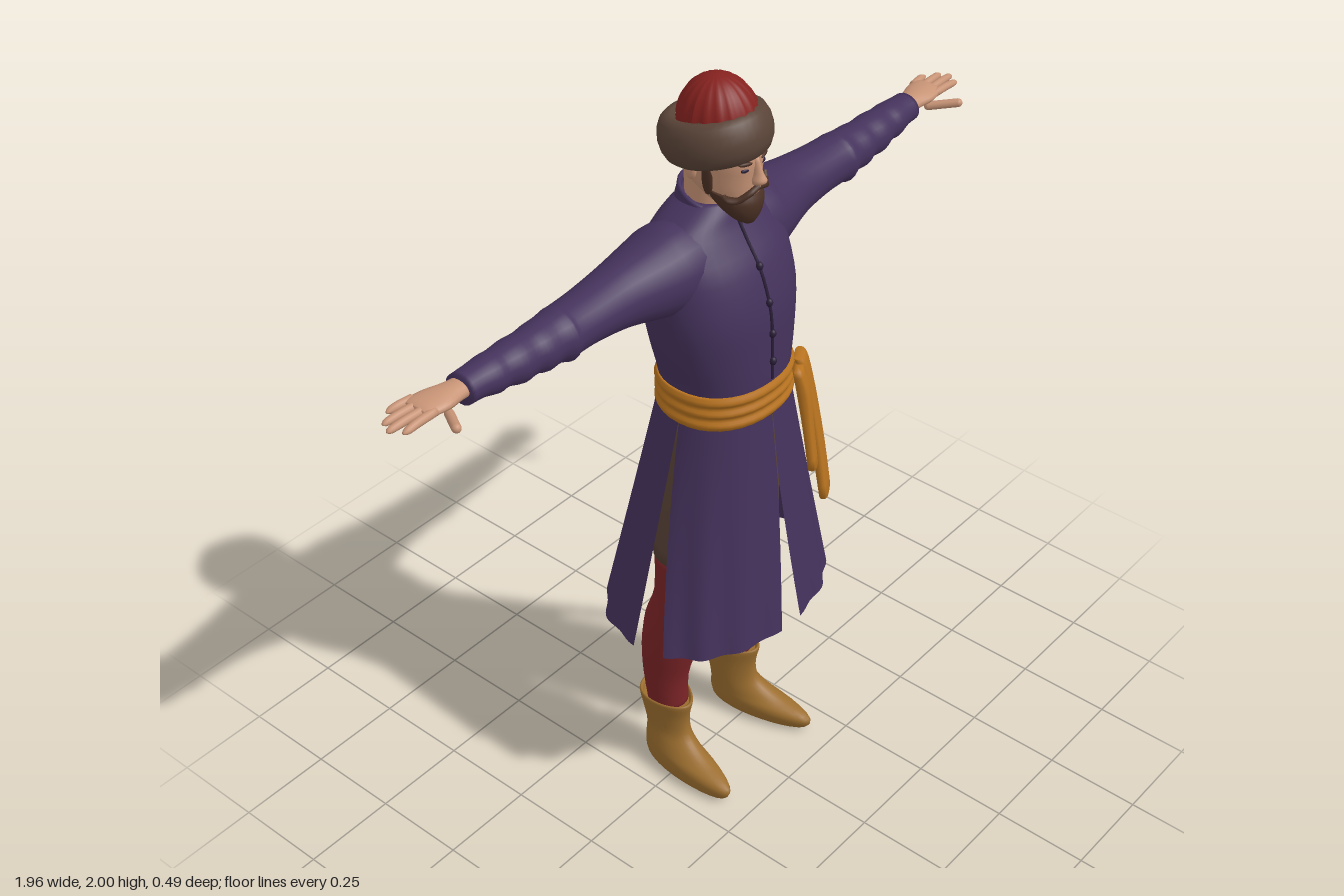
import * as THREE from 'three';

const mat = (name, color) => {
  const m = new THREE.MeshStandardMaterial({ color });
  m.name = name;
  return m;
};

// Smooth interpolation through keyframe rows
function resample(keys, sub) {
  const out = [], n = keys.length;
  for (let i = 0; i < n - 1; i++) {
    const [a, b, c, d] = [keys[Math.max(i - 1, 0)], keys[i], keys[i + 1], keys[Math.min(i + 2, n - 1)]];
    for (let s = 0; s < sub; s++) {
      const t = s / sub;
      out.push(b.map((v, k) => v + 0.5 * t * (c[k] - a[k] + t * (2 * a[k] - 5 * v + 4 * c[k] - d[k] + t * (3 * (v - c[k]) + d[k] - a[k])))));
    }
  }
  out.push(keys[n - 1]);
  return out;
}

// Skin of elliptical rings [along, c1, c2, r1, r2]. Axis y: c = x,z. Axis x: c = y,z.
function loft(keys, { axis = 'y', seg = 28, sub = 3, tilt = 0, taper = 0, power = 2 } = {}) {
  const rings = resample(keys, sub), pos = [], idx = [];
  const sp = v => Math.sign(v) * Math.abs(v) ** (2 / power);
  const put = (s, c, u, v) => axis === 'y' ? pos.push(c + u, s, v) : pos.push(s, c + u, v);
  for (const [s, c1, c2, r1, r2] of rings)
    for (let j = 0; j < seg; j++) {
      const a = j / seg * Math.PI * 2, sn = sp(Math.sin(a)), cs = sp(Math.cos(a));
      if (axis === 'y') put(s + tilt * r2 * cs, c1, r1 * sn * (1 - taper * cs), c2 + r2 * cs);
      else put(s, c1, r1 * cs, c2 + r2 * sn);
    }
  for (let i = 0; i < rings.length - 1; i++)
    for (let j = 0; j < seg; j++) {
      const a = i * seg + j, b = i * seg + (j + 1) % seg;
      idx.push(a, b, b + seg, a, b + seg, a + seg);
    }
  const first = rings[0], last = rings.at(-1), base = rings.length * seg, top = base - seg;
  put(first[0], first[1], 0, first[2]);
  put(last[0], last[1], 0, last[2]);
  for (let j = 0; j < seg; j++) {
    const k = (j + 1) % seg;
    idx.push(base, k, j, base + 1, top + j, top + k);
  }
  return surface(pos, idx);
}

function surface(pos, idx) {
  const g = new THREE.BufferGeometry();
  g.setAttribute('position', new THREE.Float32BufferAttribute(pos, 3));
  g.setIndex(idx);
  g.computeVertexNormals();
  return g;
}

// Coat skirt panel between two angles; each edge opens by its own gap toward the hem
function skirtPanel(a0, a1, gap0, gap1) {
  const pos = [], idx = [], nu = 24, nv = 12, sp = v => Math.sign(v) * Math.abs(v) ** 0.9;
  const lerp = THREE.MathUtils.lerp;
  for (let i = 0; i <= nv; i++) {
    const t = i / nv;
    for (let j = 0; j <= nu; j++) {
      const u = j / nu, a = lerp(a0 + gap0(t), a1 - gap1(t), u);
      const k = 1 + 0.018 * t * Math.cos(u * Math.PI * 6);
      pos.push(lerp(0.165, 0.308, t) * sp(Math.sin(a)) * k, lerp(1.18, 0.55, t),
        lerp(0.025, 0, t) + lerp(0.145, 0.24, t) * sp(Math.cos(a)) * k);
    }
  }
  for (let i = 0; i < nv; i++)
    for (let j = 0; j < nu; j++) {
      const a = i * (nu + 1) + j, b = a + nu + 1;
      idx.push(a, b, b + 1, a, b + 1, a + 1);
    }
  return surface(pos, idx);
}

export function createModel() {
  const model = new THREE.Group();
  const coat = mat('coat purple', 0x45325c), trousers = mat('trouser red', 0x7c2427),
    hatRed = mat('hat red', 0x85221f), sash = mat('sash orange', 0xb8731f),
    boots = mat('boot tan', 0x9c6e2f), skin = mat('skin', 0xc89476),
    fur = mat('fur brown', 0x5a4438), hair = mat('hair brown', 0x4a3024),
    dark = mat('dark trim', 0x2a1e38);
  const skirtCloth = mat('skirt purple', 0x45325c);
  skirtCloth.side = THREE.DoubleSide;

  const add = (name, geometry, material, p = [0, 0, 0], r = [0, 0, 0]) => {
    const m = new THREE.Mesh(geometry, material);
    m.name = name;
    m.position.set(...p);
    m.rotation.set(...r);
    model.add(m);
    return m;
  };
  // Adds a left part and its mirror image
  const pair = (name, geometry, material, p, r) => {
    const m = add('left ' + name, geometry, material, p, r);
    m.updateMatrix();
    const g = geometry.clone().applyMatrix4(m.matrix).scale(-1, 1, 1), ix = g.index.array;
    for (let i = 0; i < ix.length; i += 3) [ix[i], ix[i + 1]] = [ix[i + 1], ix[i]];
    add('right ' + name, g, material);
  };
  const tube = (pts, r) => new THREE.TubeGeometry(new THREE.CatmullRomCurve3(pts.map(p => new THREE.Vector3(...p))), 14, r, 8);
  const ball = (x, y, z) => new THREE.SphereGeometry(1, 14, 10).scale(x, y, z);

  // Coat body, collar and sleeves
  add('coat body', loft([
    [1.16, 0, 0.025, 0.16, 0.14], [1.26, 0, 0.025, 0.165, 0.143], [1.35, 0, 0.018, 0.185, 0.148],
    [1.45, 0, 0.008, 0.2, 0.152], [1.55, 0, -0.008, 0.2, 0.137], [1.61, 0, -0.02, 0.19, 0.112],
    [1.65, 0, -0.025, 0.155, 0.092], [1.68, 0, -0.025, 0.1, 0.078], [1.7, 0, -0.022, 0.06, 0.06]],
    { seg: 36, power: 2.2 }), coat);
  add('collar', loft([[1.65, 0, -0.022, 0.085, 0.082], [1.69, 0, -0.022, 0.072, 0.074], [1.705, 0, -0.022, 0.07, 0.072],
    [1.708, 0, -0.022, 0.062, 0.064], [1.69, 0, -0.022, 0.058, 0.06]], { tilt: -0.35 }), coat);
  pair('sleeve', loft([
    [0.08, 1.565, -0.02, 0.105, 0.105], [0.15, 1.562, -0.027, 0.108, 0.106], [0.2, 1.56, -0.032, 0.096, 0.099],
    [0.3, 1.562, -0.038, 0.075, 0.077], [0.4, 1.565, -0.036, 0.061, 0.067], [0.47, 1.565, -0.034, 0.06, 0.063],
    [0.49, 1.563, -0.032, 0.064, 0.065], [0.52, 1.566, -0.034, 0.056, 0.058], [0.56, 1.566, -0.032, 0.056, 0.058],
    [0.59, 1.569, -0.033, 0.05, 0.052], [0.63, 1.57, -0.032, 0.052, 0.054], [0.67, 1.574, -0.034, 0.044, 0.047],
    [0.7, 1.575, -0.033, 0.045, 0.048], [0.74, 1.578, -0.035, 0.038, 0.042], [0.78, 1.578, -0.036, 0.036, 0.04]],
    { axis: 'x', seg: 24 }), coat);

  // Front seam and buttons
  add('front seam', tube([[0, 1.27, 0.168], [0, 1.35, 0.167], [0, 1.45, 0.161], [0, 1.55, 0.13], [0, 1.61, 0.093], [0, 1.66, 0.064]], 0.004), dark);
  [[1.32, 0.17], [1.395, 0.167], [1.475, 0.156], [1.56, 0.126]].forEach(([y, z]) => add('button', ball(0.009, 0.011, 0.009), dark, [0, y, z]));

  // Four skirt panels, slit at front, back and sides
  const slit = t => 0.005 + 0.13 * Math.max(0, t - 0.33), side = t => 0.3 * t, tight = t => 0.01 * t, H = Math.PI / 2;
  add('left front skirt', skirtPanel(0, H, slit, side), skirtCloth);
  add('left back skirt', skirtPanel(H, 2 * H, tight, slit), skirtCloth);
  add('right back skirt', skirtPanel(2 * H, 3 * H, slit, tight), skirtCloth);
  add('right front skirt', skirtPanel(3 * H, 4 * H, side, slit), skirtCloth);

  // Sash with folded rolls, knot and hanging tails
  const rolls = [];
  for (let i = 0; i <= 6; i++) {
    const b = i % 2 * 0.007;
    rolls.push([1.168 + i * 0.0157, 0, 0.026, 0.168 + b, 0.144 + b]);
  }
  add('sash', loft(rolls, { seg: 36, power: 2.2 }), sash);
  const tail = (name, p, keys) => add(name, loft(keys, { seg: 20, power: 3 }), sash, p, [0, 0.55, 0]);
  tail('long sash tail', [0.125, 0, 0.14], [[0.86, 0, 0.08, 0.042, 0.012], [1, 0, 0.06, 0.037, 0.014],
    [1.15, 0, 0.035, 0.034, 0.014], [1.24, 0, 0.016, 0.032, 0.014], [1.262, 0, 0.008, 0.028, 0.012]]);
  tail('short sash tail', [0.09, 0, 0.158], [[0.97, 0, 0.056, 0.036, 0.012], [1.08, 0, 0.042, 0.032, 0.013],
    [1.18, 0, 0.028, 0.026, 0.016], [1.25, 0, 0.012, 0.026, 0.012]]);

  // Legs, under-breeches and boots
  pair('trouser leg', loft([
    [0.2, 0.13, -0.055, 0.05, 0.055], [0.3, 0.132, -0.06, 0.056, 0.061], [0.4, 0.127, -0.05, 0.067, 0.076],
    [0.5, 0.124, -0.034, 0.069, 0.08], [0.6, 0.12, -0.006, 0.07, 0.077], [0.75, 0.11, 0, 0.08, 0.085]]), trousers);
  pair('breeches', loft([[0.73, 0.11, 0, 0.083, 0.089], [0.9, 0.095, 0.008, 0.087, 0.092], [1.17, 0.075, 0.02, 0.075, 0.09]]), fur);
  pair('boot', loft([
    [0.004, 0.01, 0.08, 0.034, 0.125], [0.015, 0.01, 0.085, 0.046, 0.148], [0.04, 0.008, 0.088, 0.05, 0.156],
    [0.058, 0.007, 0.075, 0.05, 0.142], [0.075, 0.006, 0.045, 0.048, 0.11], [0.1, 0.003, 0.02, 0.046, 0.083],
    [0.13, 0, 0.006, 0.046, 0.07], [0.18, 0, 0, 0.052, 0.072], [0.228, 0, 0, 0.059, 0.082],
    [0.231, 0, 0, 0.053, 0.074], [0.215, 0, 0, 0.05, 0.068]], { taper: 0.2 }), boots, [0.132, 0, -0.055], [0, 0.13, 0]);

  // Hands: palm, fingers, thumb
  pair('palm', loft([[0.76, 1.582, -0.036, 0.021, 0.028], [0.8, 1.584, -0.037, 0.02, 0.032], [0.84, 1.586, -0.04, 0.018, 0.042],
    [0.88, 1.586, -0.046, 0.014, 0.042], [0.895, 1.586, -0.046, 0.008, 0.038]], { axis: 'x', seg: 16 }), skin);
  [[-0.08, 0.935, -0.089], [-0.057, 0.968, -0.065], [-0.034, 0.98, -0.04], [-0.013, 0.962, -0.012]].forEach(([z, tip, z2], i) =>
    pair('finger ' + (i + 1), loft([[0.87, 1.586, z, 0.01, 0.011], [(0.87 + tip) / 2, 1.586, (z + z2) / 2, 0.01, 0.0105],
      [tip - 0.012, 1.583, z2, 0.008, 0.009], [tip, 1.582, z2, 0.002, 0.003]], { axis: 'x', seg: 10 }), skin));
  pair('thumb', new THREE.CapsuleGeometry(0.011, 0.075, 4, 10), skin, [0.858, 1.572, 0.022], [1.35, 0, -0.55]);

  // Head and face
  add('neck', loft([[1.62, 0, -0.02, 0.058, 0.058], [1.72, 0, -0.018, 0.056, 0.06], [1.82, 0, -0.015, 0.06, 0.07]]), skin);
  add('head', loft([
    [1.69, 0, 0.07, 0.025, 0.025], [1.715, 0, 0.05, 0.047, 0.058], [1.75, 0, 0.025, 0.064, 0.087],
    [1.79, 0, 0.012, 0.071, 0.102], [1.83, 0, 0.01, 0.075, 0.106], [1.9, 0, 0.005, 0.075, 0.1]], { power: 2.2 }), skin);
  add('nose', loft([[1.772, 0, 0.117, 0.012, 0.012], [1.782, 0, 0.122, 0.016, 0.02], [1.8, 0, 0.117, 0.01, 0.016], [1.835, 0, 0.109, 0.007, 0.01]], { seg: 12 }), skin);
  pair('ear', ball(0.009, 0.026, 0.016), skin, [0.076, 1.795, -0.01]);
  pair('eye', ball(0.011, 0.005, 0.004), dark, [0.031, 1.812, 0.107], [0, 0.3, 0]);
  pair('eyebrow', ball(0.018, 0.005, 0.005), hair, [0.032, 1.829, 0.109], [0, 0.35, 0.08]);
  add('beard', loft([[1.67, 0, 0.092, 0.018, 0.014], [1.685, 0, 0.082, 0.038, 0.031], [1.71, 0, 0.066, 0.055, 0.054],
    [1.735, 0, 0.053, 0.064, 0.067], [1.752, 0, 0.045, 0.066, 0.066]], { tilt: -0.15 }), hair);
  pair('sideburn', ball(0.009, 0.045, 0.016), hair, [0.066, 1.785, 0.03]);
  pair('moustache', tube([[0, 1.765, 0.12], [0.025, 1.758, 0.118], [0.05, 1.742, 0.1], [0.066, 1.745, 0.086], [0.073, 1.757, 0.078]], 0.0075), hair);

  // Ribbed hat crown and fur band
  const crown = new THREE.SphereGeometry(1, 72, 20, 0, Math.PI * 2, 0, Math.PI * 0.55);
  const p = crown.attributes.position;
  for (let i = 0; i < p.count; i++) {
    const k = 1 + 0.025 * Math.cos(18 * Math.atan2(p.getZ(i), p.getX(i)));
    p.setXYZ(i, p.getX(i) * 0.089 * k, p.getY(i) * 0.112, p.getZ(i) * 0.096 * k);
  }
  crown.computeVertexNormals();
  add('hat crown', crown, hatRed, [0, 1.888, 0.006], [-0.06, 0, 0]);
  const band = new THREE.TorusGeometry(0.095, 0.031, 14, 40).rotateX(Math.PI / 2).scale(1, 1.75, 1.06);
  add('fur band', band, fur, [0, 1.861, -0.003], [-0.22, 0, 0]);
  return model;
}
